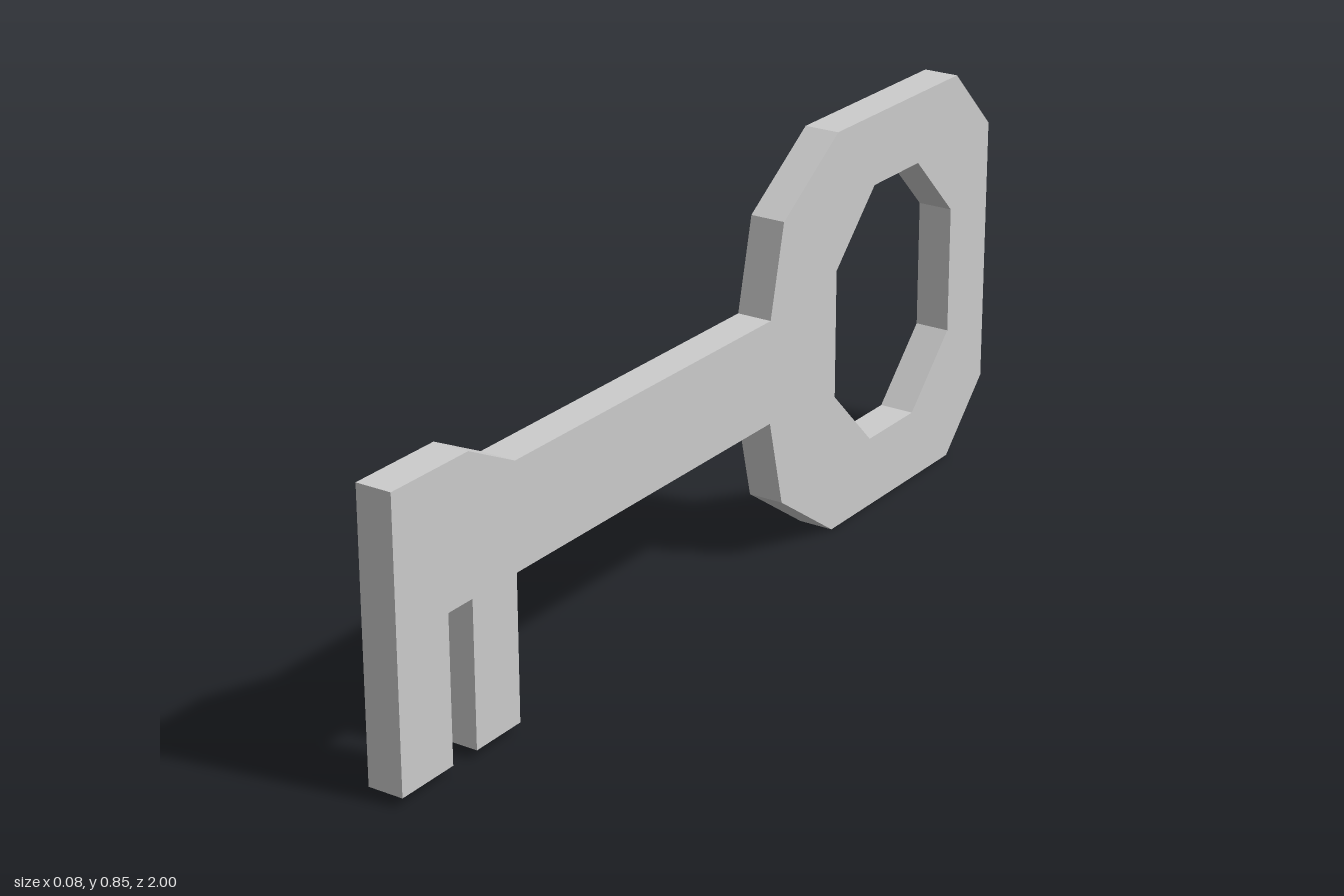
import * as THREE from 'three';

const THICKNESS = 0.075;

// Side profile corners as [z, y], clockwise once z is flipped
const OUTLINE = [
  // bit end and top of the shaft
  [1, 0.018], [1, 0.594], [0.79, 0.594], [0.66, 0.53], [-0.16, 0.53],
  // bow
  [-0.205, 0.719], [-0.398, 0.848], [-0.86, 0.848], [-1, 0.71],
  [-1, 0.14], [-0.86, 0], [-0.395, 0], [-0.205, 0.13],
  // underside of the shaft and the two teeth
  [-0.16, 0.315], [0.662, 0.315], [0.662, 0.018], [0.79, 0.018],
  [0.79, 0.315], [0.858, 0.315], [0.858, 0.018],
];

// Wound opposite to the outline so the inner walls face into the hole
const BOW_HOLE = [
  [-0.4, 0.56], [-0.4, 0.29], [-0.54, 0.15], [-0.71, 0.15],
  [-0.85, 0.29], [-0.85, 0.56], [-0.71, 0.7], [-0.54, 0.7],
];

// The shape's x axis runs along -z once the plate is turned
const toPoints = (corners) => corners.map(([z, y]) => new THREE.Vector2(-z, y));

export function createModel() {
  const group = new THREE.Group();
  group.name = 'key';

  // One flat plate: bow, shaft and teeth
  const shape = new THREE.Shape(toPoints(OUTLINE));
  shape.holes.push(new THREE.Path(toPoints(BOW_HOLE)));
  const geometry = new THREE.ExtrudeGeometry(shape, { depth: THICKNESS, bevelEnabled: false });
  geometry.translate(0, 0, -THICKNESS / 2);
  geometry.rotateY(Math.PI / 2);

  const material = new THREE.MeshStandardMaterial({ color: 0xcccccc, flatShading: true });
  const plate = new THREE.Mesh(geometry, material);
  plate.name = 'keyPlate';
  group.add(plate);
  return group;
}
